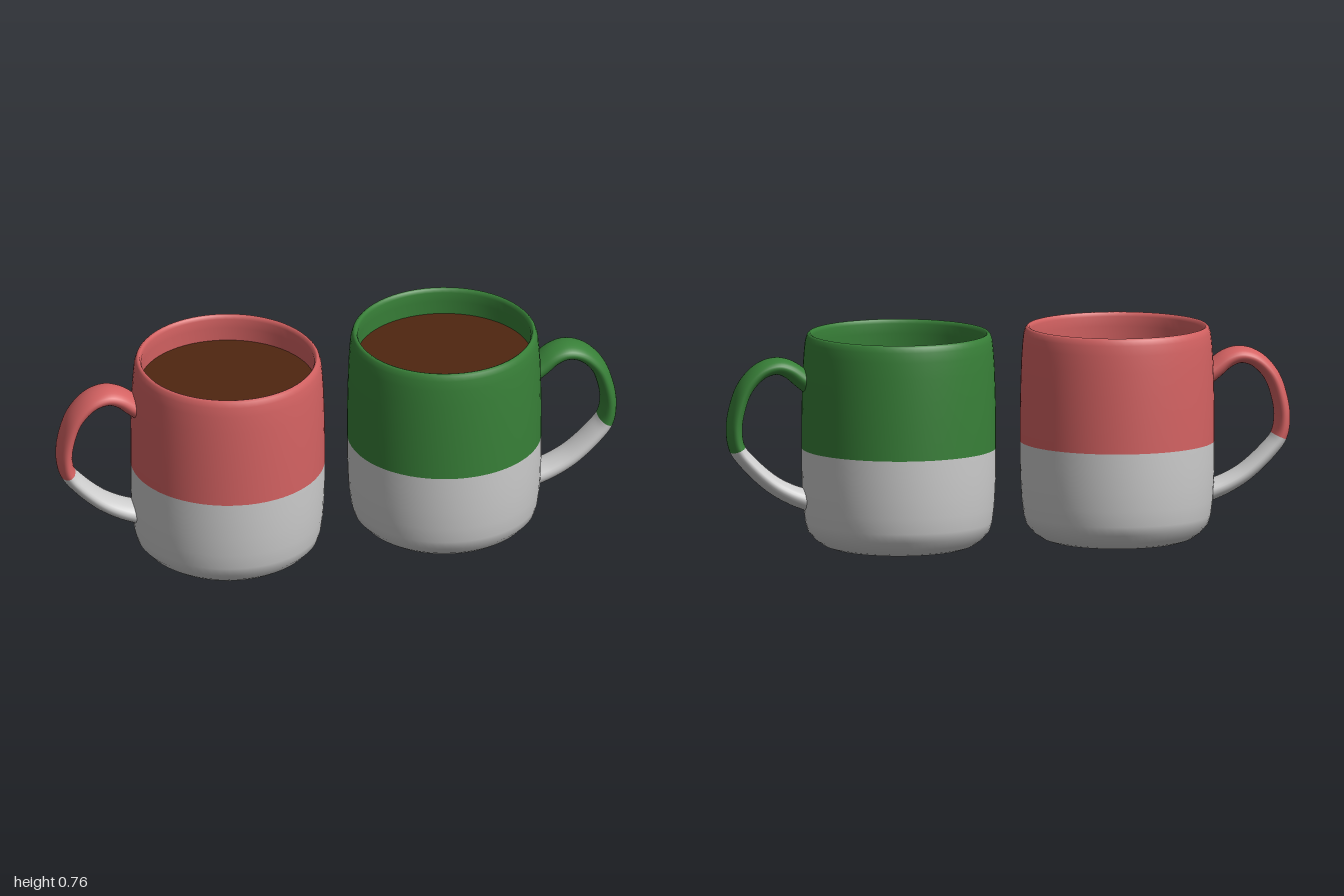
import * as THREE from 'three';

const V2 = (pts) => pts.map(([x, y]) => new THREE.Vector2(x, y));
const mat = (color) => new THREE.MeshStandardMaterial({ color });

// Handle centreline, relative to the mug axis
const handlePath = new THREE.CatmullRomCurve3([
  [0.31, 0.583], [0.338, 0.602], [0.385, 0.637], [0.43, 0.65], [0.485, 0.634], [0.54, 0.578],
  [0.57, 0.5], [0.58, 0.425], [0.568, 0.36], [0.527, 0.307], [0.447, 0.235],
  [0.377, 0.195], [0.31, 0.17],
].map(([x, y]) => new THREE.Vector3(x, y, 0)));
const SPLIT = 8 / 12;

// Sweep an oval section along part of the handle path
function sweepHandle(t0, t1, steps, sides = 28) {
  const pos = [], index = [];
  for (let i = 0; i <= steps; i++) {
    const t = t0 + ((t1 - t0) * i) / steps;
    const p = handlePath.getPoint(t), d = handlePath.getTangent(t);
    const half = 0.027 + 0.011 * (2 * t - 1) ** 2;
    for (let j = 0; j < sides; j++) {
      const a = (j / sides) * Math.PI * 2;
      const n = Math.cos(a) * half;
      pos.push(p.x - d.y * n, p.y + d.x * n, Math.sin(a) * 0.0625);
      if (i < steps) {
        const k = (j + 1) % sides, r = i * sides, s = r + sides;
        index.push(r + j, r + k, s + j, r + k, s + k, s + j);
      }
    }
  }
  const g = new THREE.BufferGeometry();
  g.setAttribute('position', new THREE.Float32BufferAttribute(pos, 3));
  g.setIndex(index);
  g.computeVertexNormals();
  return g;
}

function createMug(color) {
  const mug = new THREE.Group();
  const glaze = mat(color), grey = mat(0xcccccc);
  glaze.side = THREE.DoubleSide;
  const add = (name, geometry, material) => {
    const m = new THREE.Mesh(geometry, material);
    m.name = name;
    mug.add(m);
    return m;
  };

  // Unglazed base with rounded bottom
  add('lowerBody', new THREE.LatheGeometry(V2([
    [0, 0], [0.12, 0.001], [0.21, 0.003], [0.24, 0.006], [0.265, 0.015], [0.292, 0.034], [0.318, 0.063],
    [0.327, 0.095], [0.334, 0.15], [0.338, 0.22], [0.34, 0.29], [0.34, 0.355],
  ]), 64), grey);

  // Glazed wall, rolled rim and inside wall
  add('upperBody', new THREE.LatheGeometry(V2([
    [0.34, 0.355], [0.34, 0.45], [0.338, 0.55], [0.335, 0.64], [0.331, 0.7], [0.327, 0.735],
    [0.321, 0.753], [0.314, 0.76], [0.307, 0.757], [0.302, 0.745], [0.303, 0.71], [0.306, 0.66], [0.307, 0.6],
  ]), 64), glaze);

  // Drink surface
  const drink = add('drink', new THREE.CircleGeometry(0.307, 64), mat(0x4f2610));
  drink.rotation.x = -Math.PI / 2;
  drink.position.y = 0.66;

  // Two-tone handle, set slightly off the mug axis
  add('handleUpper', sweepHandle(0, SPLIT, 48), glaze).position.z = 0.024;
  add('handleLower', sweepHandle(SPLIT, 1, 24), grey).position.z = 0.024;
  return mug;
}

export function createModel() {
  const model = new THREE.Group();
  model.name = 'mugPair';

  const green = createMug(0x388038);
  green.name = 'greenMug';
  green.position.set(0.39, 0, -0.012);

  // Same mug turned half way round
  const red = createMug(0xd46262);
  red.name = 'redMug';
  red.position.set(-0.39, 0, 0.012);
  red.rotation.y = Math.PI;

  model.add(green, red);
  return model;
}
